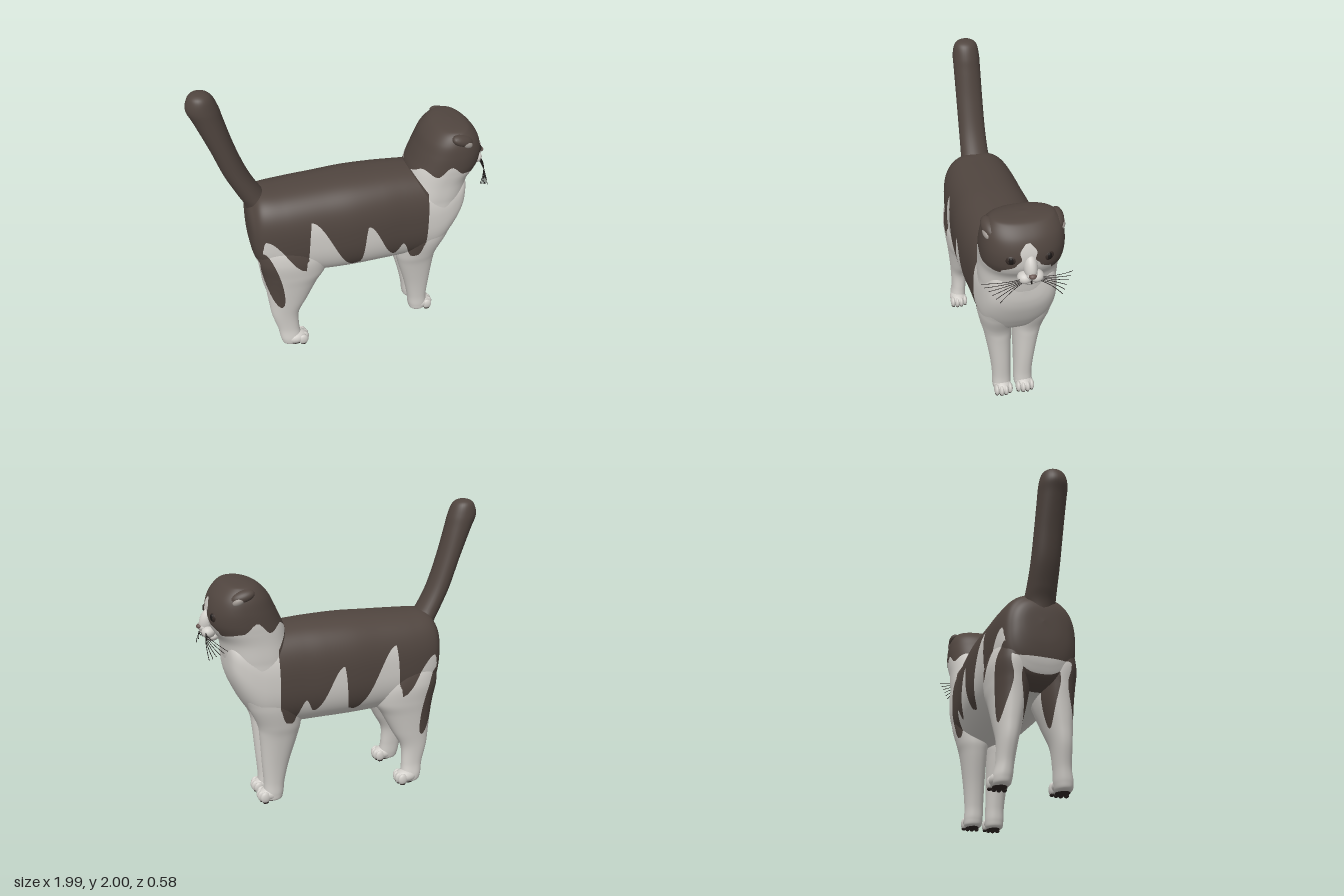
import * as THREE from 'three';

const mat = (name, color) => Object.assign(new THREE.MeshStandardMaterial({ color }), { name });

// Smooth rounded steps through [x, y] pairs
function wave(points, x) {
  if (x <= points[0][0]) return points[0][1];
  for (let i = 1; i < points.length; i++) {
    const [x0, y0] = points[i - 1], [x1, y1] = points[i];
    if (x <= x1) return y0 + (y1 - y0) * THREE.MathUtils.smoothstep(x, x0, x1);
  }
  return points[points.length - 1][1];
}

// Superellipse loft. Row: [along, a0, a1, z0, z1]; lengthwise runs along +x, otherwise down y.
function loft(rows, { lengthwise = false, steps = 10, sides = 48, power = 2.2 } = {}) {
  const curve = new THREE.CubicInterpolant(rows.map((r, i) => i), rows.flat(), 5);
  const count = (rows.length - 1) * steps, pos = [], index = [];
  for (let i = 0; i <= count; i++) {
    const [h, a0, a1, z0, z1] = Array.from(curve.evaluate(i / steps));
    const ra = Math.max(0, (a1 - a0) / 2), rz = Math.max(0, (z1 - z0) / 2);
    for (let j = 0; j < sides; j++) {
      const t = j / sides * Math.PI * 2, c = Math.cos(t), s = Math.sin(t);
      const a = (a0 + a1) / 2 + ra * Math.sign(c) * Math.abs(c) ** (2 / power);
      const z = (z0 + z1) / 2 + rz * Math.sign(s) * Math.abs(s) ** (2 / power);
      pos.push(...(lengthwise ? [h, a, z] : [a, h, z]));
      if (i < count) {
        const k = (j + 1) % sides, p = i * sides, q = p + sides;
        index.push(p + j, p + k, q + j, p + k, q + k, q + j);
      }
    }
  }
  const g = new THREE.BufferGeometry();
  g.setAttribute('position', new THREE.Float32BufferAttribute(pos, 3));
  g.setIndex(index);
  g.computeVertexNormals();
  return g;
}

// Keep the part of a geometry where sign * f(x, y, z) >= 0, cutting triangles on the border
function cut(geometry, f, sign) {
  const P = geometry.attributes.position, N = geometry.attributes.normal, idx = geometry.index.array;
  const pos = [], nor = [], verts = [];
  for (let i = 0; i < P.count; i++) {
    const p = new THREE.Vector3().fromBufferAttribute(P, i);
    verts.push({ p, n: new THREE.Vector3().fromBufferAttribute(N, i), d: sign * f(p.x, p.y, p.z) });
  }
  for (let i = 0; i < idx.length; i += 3) {
    const poly = [];
    for (let k = 0; k < 3; k++) {
      const a = verts[idx[i + k]], b = verts[idx[i + (k + 1) % 3]];
      if (a.d >= 0) poly.push(a);
      if ((a.d >= 0) !== (b.d >= 0)) {
        const t = a.d / (a.d - b.d);
        poly.push({ p: a.p.clone().lerp(b.p, t), n: a.n.clone().lerp(b.n, t) });
      }
    }
    for (let k = 1; k + 1 < poly.length; k++)
      for (const v of [poly[0], poly[k], poly[k + 1]]) { pos.push(...v.p); nor.push(...v.n); }
  }
  const g = new THREE.BufferGeometry();
  g.setAttribute('position', new THREE.Float32BufferAttribute(pos, 3));
  g.setAttribute('normal', new THREE.Float32BufferAttribute(nor, 3));
  return g;
}

// Coat pattern: positive is dark fur
const FLANK = [[-0.7, 0.78], [-0.66, 0.78], [-0.605, 0.98], [-0.34, 0.71], [-0.30, 1.09], [0.0, 0.665],
  [0.04, 0.68], [0.085, 1.0], [0.29, 0.7], [0.345, 0.79], [0.43, 0.62], [0.48, 0.63], [0.53, 0.75]];
const CHEEK = [[0.42, 1.27], [0.49, 1.32], [0.57, 1.28], [0.66, 1.355], [0.75, 1.29], [0.87, 1.27]];
const BLAZE = [[1.29, 0.15], [1.35, 0.07], [1.39, 0.04], [1.43, 0.05], [1.53, -0.01], [1.58, -0.1]];
function coat(x, y, z) {
  const flank = Math.min(y - wave(FLANK, x), 0.52 - 0.7 * Math.max(0, y - 1.15) - x);
  const face = x > 0.8 ? Math.abs(z - 0.012) - wave(BLAZE, y) : 0.1;
  const head = Math.min(y - wave(CHEEK, x), face);
  const u = x + 0.575 + (y - 0.63) * 0.2, v = y - 0.63;
  const thigh = 0.06 * (1 - Math.hypot(u / 0.055, v / 0.25));
  return Math.max(flank, head, thigh);
}

export function createModel() {
  const cat = new THREE.Group();
  cat.name = 'cat';
  const dark = mat('darkFur', 0x50453f), light = mat('lightFur', 0xd0cdc8), eyeMat = mat('eyeBrown', 0x352b27),
    black = mat('black', 0x1c1817), pad = mat('pawPad', 0x2f2725), noseMat = mat('nose', 0x6a5853),
    earMat = mat('innerEar', 0x9c958f);

  const add = (name, g, m) => {
    const mesh = new THREE.Mesh(g, m);
    mesh.name = name;
    cat.add(mesh);
    return mesh;
  };
  const painted = (name, g) => {
    add(name + 'Dark', cut(g, coat, 1), dark);
    add(name + 'Light', cut(g, coat, -1), light);
  };
  const blob = (name, m, [x, y, z], [sx, sy, sz], [rx, ry, rz] = [0, 0, 0]) => {
    const mesh = add(name, new THREE.SphereGeometry(1, 20, 14), m);
    mesh.position.set(x, y, z);
    mesh.scale.set(sx, sy, sz);
    mesh.rotation.set(rx, ry, rz);
  };
  const even = rows => rows.map(([h, a, b, w]) => [h, a, b, -w, w]);

  // Torso from rump to chest
  painted('torso', loft(even([
    [-0.695, 1.02, 1.02, 0], [-0.688, 0.86, 1.13, 0.13], [-0.66, 0.73, 1.19, 0.2], [-0.6, 0.64, 1.243, 0.245],
    [-0.45, 0.6, 1.256, 0.27], [-0.2, 0.577, 1.27, 0.28], [0, 0.573, 1.28, 0.288], [0.2, 0.575, 1.28, 0.28],
    [0.35, 0.575, 1.275, 0.268], [0.5, 0.58, 1.265, 0.26], [0.62, 0.61, 1.26, 0.25], [0.72, 0.74, 1.26, 0.23],
    [0.79, 0.88, 1.25, 0.195], [0.82, 0.98, 1.2, 0.13], [0.828, 1.08, 1.08, 0]]),
  { lengthwise: true, steps: 20, sides: 80, power: 2.5 }));

  // Neck and head
  painted('head', loft(even([
    [1.592, 0.72, 0.72, 0], [1.583, 0.65, 0.8, 0.155], [1.56, 0.588, 0.845, 0.205], [1.5, 0.53, 0.895, 0.24],
    [1.42, 0.49, 0.922, 0.254], [1.34, 0.455, 0.922, 0.256], [1.28, 0.43, 0.9, 0.252], [1.2, 0.41, 0.85, 0.246],
    [1.08, 0.38, 0.828, 0.245], [0.95, 0.36, 0.8, 0.23], [0.8, 0.4, 0.7, 0.1], [0.7, 0.55, 0.55, 0]]),
  { sides: 80, power: 2.3 }));

  // Tail
  add('tail', loft(even([
    [2.0, -0.91, -0.91, 0], [1.99, -0.955, -0.865, 0.05], [1.96, -0.985, -0.83, 0.08], [1.89, -1, -0.8, 0.094],
    [1.8, -0.963, -0.778, 0.095], [1.6, -0.885, -0.725, 0.095], [1.4, -0.815, -0.655, 0.096],
    [1.25, -0.745, -0.575, 0.1], [1.15, -0.698, -0.5, 0.105], [1.0, -0.67, -0.45, 0.08]]), { sides: 32, power: 2 }), dark);

  // Legs and paws
  const hind = [[0.97, -0.5, -0.4, 0.12, 0.16], [0.9, -0.63, -0.27, 0.06, 0.25], [0.78, -0.657, -0.19, 0.03, 0.284],
    [0.65, -0.637, -0.19, 0.025, 0.276], [0.55, -0.622, -0.25, 0.04, 0.262], [0.4, -0.605, -0.33, 0.08, 0.245],
    [0.28, -0.59, -0.395, 0.11, 0.235], [0.15, -0.555, -0.4, 0.128, 0.235], [0.06, -0.54, -0.39, 0.135, 0.25],
    [0.015, -0.52, -0.4, 0.15, 0.24], [0.012, -0.46, -0.46, 0.195, 0.195]];
  const front = [[0.97, 0.5, 0.6, 0.1, 0.14], [0.88, 0.4, 0.74, 0.03, 0.23], [0.75, 0.35, 0.71, 0.008, 0.24],
    [0.6, 0.345, 0.645, 0.004, 0.213], [0.5, 0.365, 0.63, 0.008, 0.188], [0.3, 0.425, 0.617, 0.012, 0.155],
    [0.15, 0.46, 0.607, 0.013, 0.14], [0.06, 0.472, 0.61, 0.013, 0.14],
    [0.015, 0.49, 0.6, 0.025, 0.13], [0.012, 0.55, 0.55, 0.075, 0.075]];
  for (const side of [1, -1]) {
    for (const [name, rows, px, pz] of [['hind', hind, -0.43, 0.198], ['front', front, 0.565, 0.077]]) {
      const label = name + (side > 0 ? 'Near' : 'Far');
      painted(label + 'Leg', loft(rows.map(([y, a, b, z0, z1]) =>
        side > 0 ? [y, a, b, z0, z1] : [y, a, b, -z1, -z0])));
      blob(label + 'Paw', light, [px, 0.055, side * pz], [0.085, 0.05, 0.063]);
      blob(label + 'Pad', pad, [px - 0.005, 0.013, side * pz], [0.062, 0.013, 0.045]);
      for (let i = 0; i < 4; i++) {
        const dz = (i - 1.5) * 0.031, x = px + 0.064 - Math.abs(i - 1.5) * 0.012;
        blob(label + 'Toe', light, [x, 0.047, side * pz + dz], [0.036, 0.041, 0.019]);
        blob(label + 'ToePad', pad, [x, 0.012, side * pz + dz], [0.022, 0.011, 0.014]);
      }
    }

    // Folded ears
    blob('ear', dark, [0.735, 1.525, side * 0.205], [0.08, 0.036, 0.045], [side * 0.5, 0, -0.35]);
    blob('innerEar', earMat, [0.765, 1.498, side * 0.222], [0.042, 0.026, 0.024], [side * 0.5, 0, -0.5]);

    // Eyes
    blob('eye', eyeMat, [0.88, 1.385, side * 0.105], [0.04, 0.042, 0.043]);
    blob('pupil', black, [0.912, 1.387, side * 0.115], [0.009, 0.022, 0.016], [0, -side * 0.35, 0]);

    // Muzzle half and whiskers
    blob('muzzle', light, [0.923, 1.268, side * 0.034], [0.045, 0.038, 0.046]);
    for (let i = 0; i < 6; i++) {
      const s = i / 5, curve = new THREE.QuadraticBezierCurve3(
        new THREE.Vector3(0.945, 1.275 - 0.03 * s, side * 0.05),
        new THREE.Vector3(0.965, 1.27 - 0.05 * s, side * (0.15 - 0.03 * s)),
        new THREE.Vector3(0.86 + 0.1 * s, 1.21 - 0.08 * s, side * (0.28 - 0.09 * s)));
      add('whisker', new THREE.TubeGeometry(curve, 10, 0.0022, 4), black);
    }
  }

  // Bridge, nose, mouth and chin
  blob('bridge', light, [0.915, 1.335, 0], [0.055, 0.085, 0.042], [0, 0, 0.35]);
  blob('snout', light, [0.93, 1.295, 0], [0.052, 0.03, 0.036]);
  blob('nose', noseMat, [0.972, 1.303, 0], [0.02, 0.016, 0.023]);
  blob('mouth', black, [0.945, 1.25, 0], [0.018, 0.022, 0.005]);
  blob('chin', light, [0.895, 1.228, 0], [0.045, 0.03, 0.05]);
  return cat;
}
